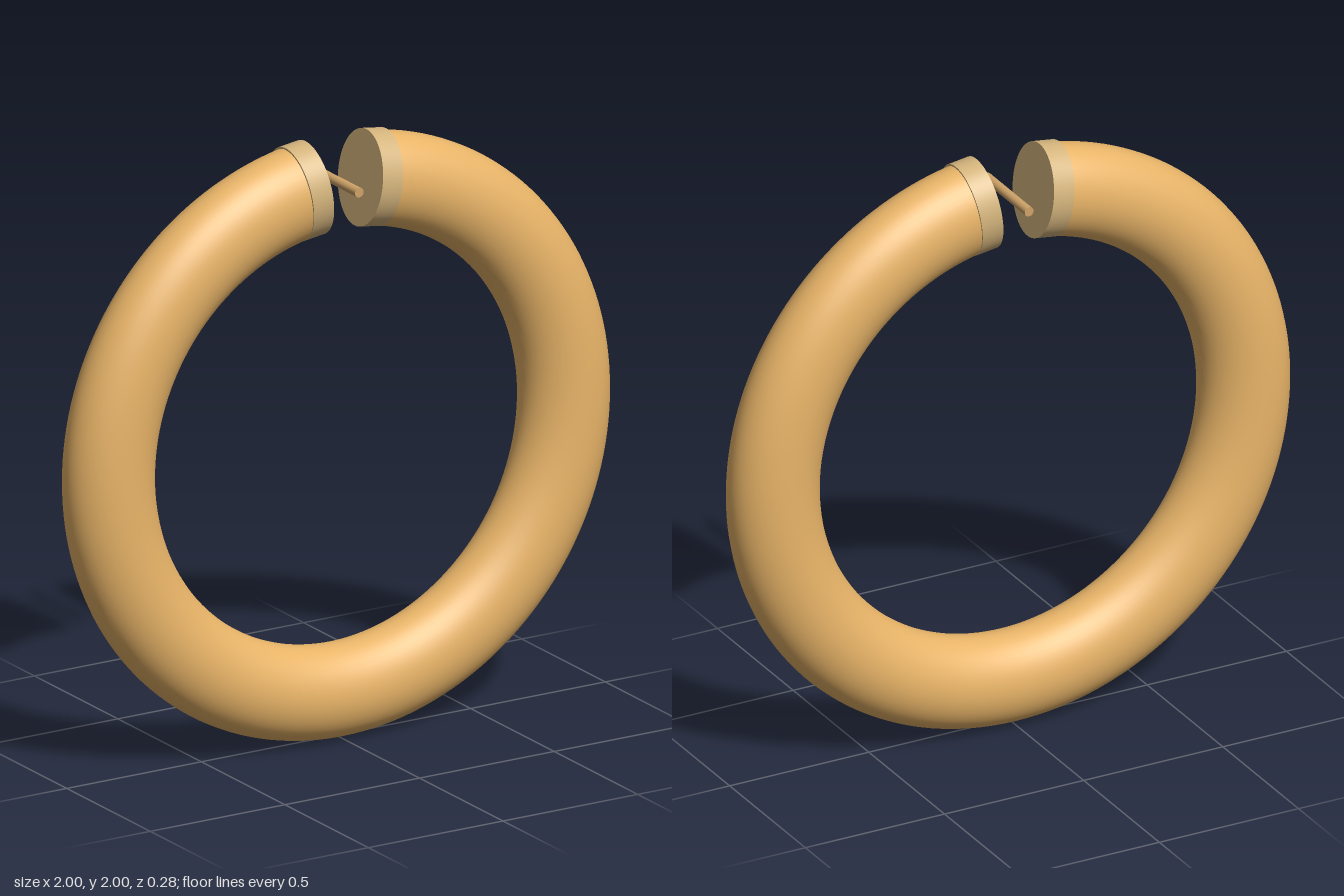
import * as THREE from 'three';

const RING = 0.845;   // centreline radius
const TUBE = 0.1545;  // tube half-height in the ring's plane
const FLAT = 0.815;   // depth of the oval tube section relative to its height
const GAP = THREE.MathUtils.degToRad(8.6); // half of the opening

export function createModel() {
  const model = new THREE.Group();
  const add = (name, geometry, color) => {
    const mesh = new THREE.Mesh(geometry, new THREE.MeshStandardMaterial({ color }));
    mesh.name = name;
    model.add(mesh);
    return mesh;
  };

  // Open ring with an oval section, its gap at the top
  const ring = new THREE.TorusGeometry(RING, TUBE, 48, 160, Math.PI * 2 - 2 * GAP);
  ring.rotateZ(Math.PI / 2 + GAP).scale(1, 1, FLAT).translate(0, 1, 0);
  add('ring', ring, 0xe8b468);

  // Straight oval end caps, one over each end of the ring
  for (const [name, side] of [['leftEndCap', 1], ['rightEndCap', -1]]) {
    const cap = new THREE.CylinderGeometry(0.158, 0.158, 0.075, 64);
    cap.scale(1, 1, 0.83).rotateZ(Math.PI / 2 - side * 0.14);
    cap.translate(side * 0.128, 1.837, 0);
    add(name, cap, 0xd4b47c);
  }

  // Thin pin running front to back through the gap
  const pin = new THREE.CylinderGeometry(0.016, 0.016, 0.28, 24);
  pin.rotateX(Math.PI / 2).translate(0, 1.847, 0);
  add('pin', pin, 0xd0a468);

  return model;
}
